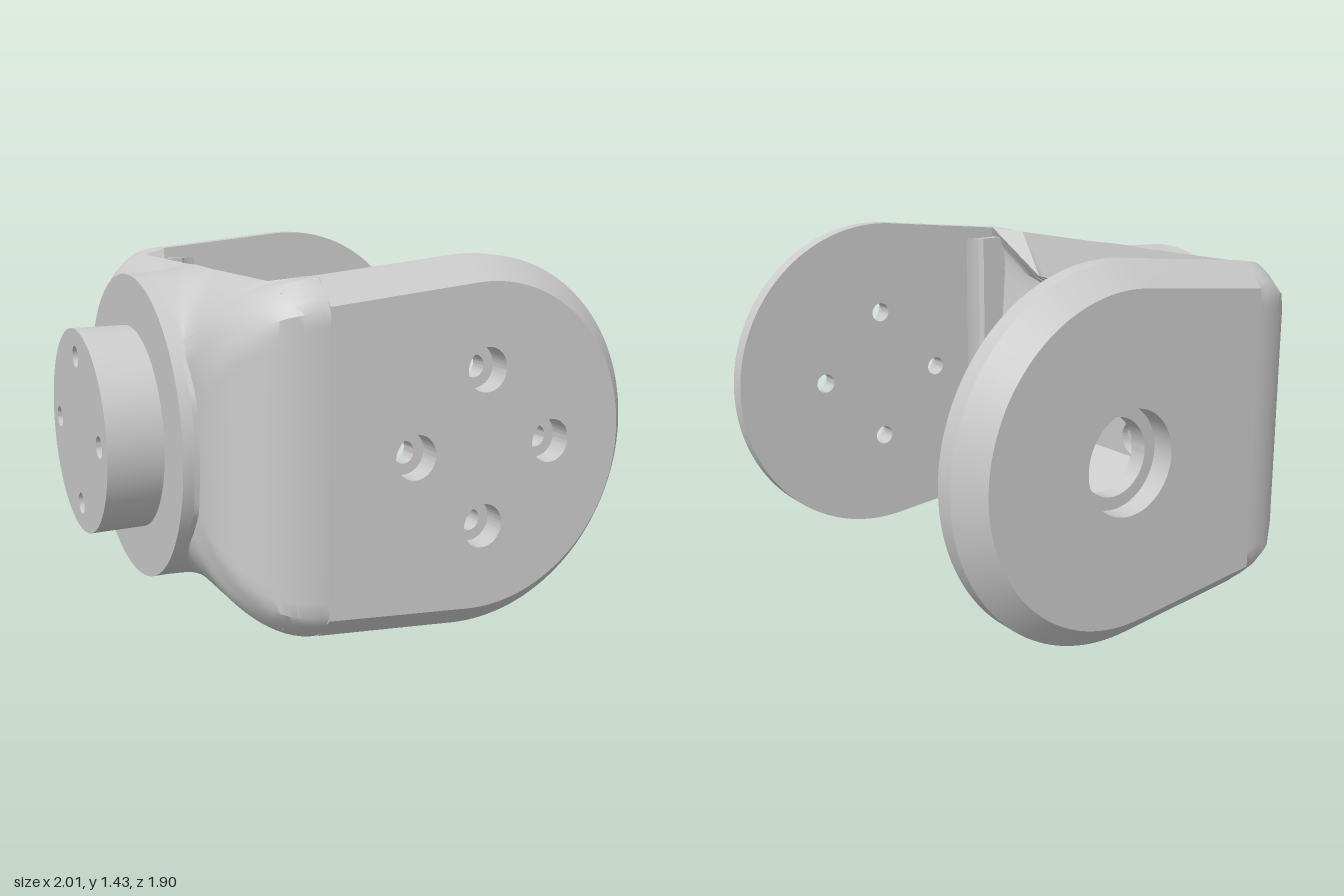
import * as THREE from 'three';
import { toCreasedNormals } from 'three/addons/utils/BufferGeometryUtils.js';

const CY = 0.715;                       // height of the main axis
const ARM_X = 0.29, ARM_R = 0.715;      // centre and radius of the arm's round end
const ROOT_X = -0.36;                   // where the arms grow out of the yoke body
const CHAMFER = 0.09, SIN_TAPER = 0.095;
const FLOOR_X = -0.62, SEAT_X = -0.66;  // pocket floor and its screw seats
const N = 144;

const material = new THREE.MeshStandardMaterial({ color: 0xcccccc, side: THREE.DoubleSide });

function part(name, geometry, angle = 0.5) {
  const mesh = new THREE.Mesh(toCreasedNormals(geometry, angle), material);
  mesh.name = name;
  return mesh;
}

// Surface through closed loops of equal length
function skin(rings) {
  const n = rings[0].length, pos = [], idx = [];
  rings.forEach(ring => ring.forEach(p => pos.push(p.x, p.y, p.z)));
  for (let i = 0; i < rings.length - 1; i++) {
    for (let j = 0; j < n; j++) {
      const a = i * n + j, b = i * n + (j + 1) % n;
      idx.push(a, b, b + n, a, b + n, a + n);
    }
  }
  const g = new THREE.BufferGeometry();
  g.setAttribute('position', new THREE.Float32BufferAttribute(pos, 3));
  g.setIndex(idx);
  return g;
}

const circle = (x, y, r) => new THREE.Path().absarc(x, y, r, 0, Math.PI * 2, true);
const disc = r => new THREE.Shape().absarc(0, 0, r, 0, Math.PI * 2, false);
const lift = (points, z) => points.map(p => new THREE.Vector3(p.x, p.y, z));
const cross = (x, y) => [[x, y + 0.3], [x, y - 0.3], [x - 0.3, y], [x + 0.3, y]];

function slab(shape, holes, r, z0, z1) {
  holes.forEach(([x, y]) => shape.holes.push(circle(x, y, r)));
  return new THREE.ExtrudeGeometry(shape, { depth: z1 - z0, bevelEnabled: false, curveSegments: 48 })
    .translate(0, 0, z0);
}

function face(shape, holes, r, z) {
  holes.forEach(([x, y]) => shape.holes.push(circle(x, y, r)));
  return new THREE.ShapeGeometry(shape, 32).translate(0, 0, z);
}

// Inward-facing wall of a counterbore
function bore([x, y], r, z0, z1) {
  const pts = circle(x, y, r).getPoints(40).slice(0, -1).reverse();
  return skin([lift(pts, z1), lift(pts, z0)]);
}

// Arm outline: round end with two tapering straight sides
function armOutline(r) {
  const alpha = Math.asin(SIN_TAPER), end = Math.PI / 2 + alpha;
  const y = (r - SIN_TAPER * (ARM_X - ROOT_X)) / Math.cos(alpha);
  const pts = [new THREE.Vector2(ROOT_X, -y)];
  for (let i = 0; i <= 72; i++) {
    const a = -end + 2 * end * i / 72;
    pts.push(new THREE.Vector2(ARM_X + r * Math.cos(a), r * Math.sin(a)));
  }
  pts.push(new THREE.Vector2(ROOT_X, y));
  return pts;
}

// Arm facing +z, centred on the main axis
function makeArm(name, holes, rThrough, rBore) {
  const arm = new THREE.Group();
  arm.name = name;
  const outer = armOutline(ARM_R), inner = armOutline(ARM_R - CHAMFER);
  arm.add(part('armPlate', slab(new THREE.Shape(outer), holes, rThrough, 0.79, 0.86)));
  arm.add(part('armChamfer', skin([lift(outer, 0.86), lift(inner, 0.95)])));
  arm.add(part('armFace', face(new THREE.Shape(inner), holes, rBore, 0.95)));
  holes.forEach(h => arm.add(part('counterbore', bore(h, rBore, 0.86, 0.95))));
  // thicker root blending into the yoke body
  const root = new THREE.Shape([[-0.5, -0.75], [-0.28, -0.75], [-0.265, -0.772], [-0.24, -0.784],
    [-0.2, -0.791], [-0.2, -0.85], [-0.5, -0.85]].map(p => new THREE.Vector2(...p)));
  arm.add(part('armRoot', new THREE.ExtrudeGeometry(root, { depth: 1.22, bevelEnabled: false })
    .translate(0, 0, -0.61).rotateX(-Math.PI / 2)));
  arm.position.y = CY;
  return arm;
}

// Radius of the yoke body around the x axis: a round neck merging into a chamfered box
function bodyRadius(theta, x) {
  const t = THREE.MathUtils.clamp((x + 0.72) / 0.36, 0, 1);
  const s = Math.sqrt(1 - (1 - t) ** 2);
  const w = 0.59 + 0.36 * s, h = 0.296 + 0.36 * s;
  const c = Math.abs(Math.cos(theta)) + 1e-6, d = Math.abs(Math.sin(theta)) + 1e-6;
  const box = Math.min(w / d, h / c, (w + h - CHAMFER) / (c + d));
  const neck = 0.615 + 0.02 * t, k = 0.08 * (1 - t) + 1e-4;
  const blend = Math.max(k - Math.abs(box - neck), 0);
  return Math.max(box, neck) + blend * blend / (4 * k);
}

const rimX = y => -0.381 - 0.154 * y;   // leaning plane of the pocket rim

// Trapezoid pocket opening and rectangular pocket floor, as radii
function openingRadius(theta) {
  const c = Math.cos(theta), d = Math.abs(Math.sin(theta));
  const side = d + 0.12 * c > 1e-3 ? 0.682 / (d + 0.12 * c) : 9;
  return Math.min(side, c > 0 ? 0.435 / (c + 1e-6) : 0.565 / (1e-6 - c));
}
const floorRadius = theta =>
  Math.min(0.395 / (Math.abs(Math.cos(theta)) + 1e-6), 0.41 / (Math.abs(Math.sin(theta)) + 1e-6));

function makeBody() {
  const thetas = Array.from({ length: N }, (_, j) => j / N * Math.PI * 2);
  const at = (x, r, a) => new THREE.Vector3(x, r * Math.cos(a), r * Math.sin(a));
  const ends = thetas.map(a => {
    if (Math.abs(bodyRadius(a, ROOT_X) * Math.sin(a)) > 0.775) return ROOT_X;
    let x = ROOT_X;
    for (let i = 0; i < 8; i++) x = rimX(bodyRadius(a, x) * Math.cos(a));
    return x;
  });
  const rings = [thetas.map(a => at(-0.74, bodyRadius(a, -0.74), a))];
  for (let i = 0; i <= 18; i++) {
    const s = (i / 18) ** 1.6;
    rings.push(thetas.map((a, j) => {
      const x = -0.72 + (ends[j] + 0.72) * s;
      return at(x, bodyRadius(a, x), a);
    }));
  }
  // rim, then the sloping pocket walls
  rings.push(thetas.map(a => {
    const r = openingRadius(a);
    return at(rimX(r * Math.cos(a)), r, a);
  }));
  rings.push(thetas.map(a => at(FLOOR_X, floorRadius(a), a)));
  const body = part('yokeBody', skin(rings), 0.6);
  body.position.y = CY;
  return body;
}

// Flange, boss and pocket floor, built along z and turned to lie along x
function makeMount() {
  const mount = new THREE.Group();
  mount.name = 'mount';
  const holes = cross(0, 0);
  mount.add(part('flange', slab(disc(0.615), [[0, 0]], 0.4, -0.78, -0.72)));
  mount.add(part('boss', slab(disc(0.41), holes, 0.043, -1, SEAT_X)));
  const floor = [];
  for (let j = 0; j < N; j++) {
    const a = j / N * Math.PI * 2, r = floorRadius(a);
    floor.push(new THREE.Vector2(-r * Math.sin(a), r * Math.cos(a)));
  }
  mount.add(part('pocketFloor', face(new THREE.Shape(floor), holes, 0.085, FLOOR_X)));
  holes.forEach(h => mount.add(part('screwSeat', bore(h, 0.085, SEAT_X, FLOOR_X))));
  mount.rotation.y = Math.PI / 2;
  mount.position.y = CY;
  return mount;
}

export function createModel() {
  const model = new THREE.Group();
  model.name = 'forkBracket';
  const frontArm = makeArm('frontArm', cross(ARM_X, 0), 0.043, 0.085);
  const backArm = makeArm('backArm', [[ARM_X, 0]], 0.15, 0.2);
  backArm.rotation.x = Math.PI;
  model.add(makeBody(), makeMount(), frontArm, backArm);
  return model;
}
